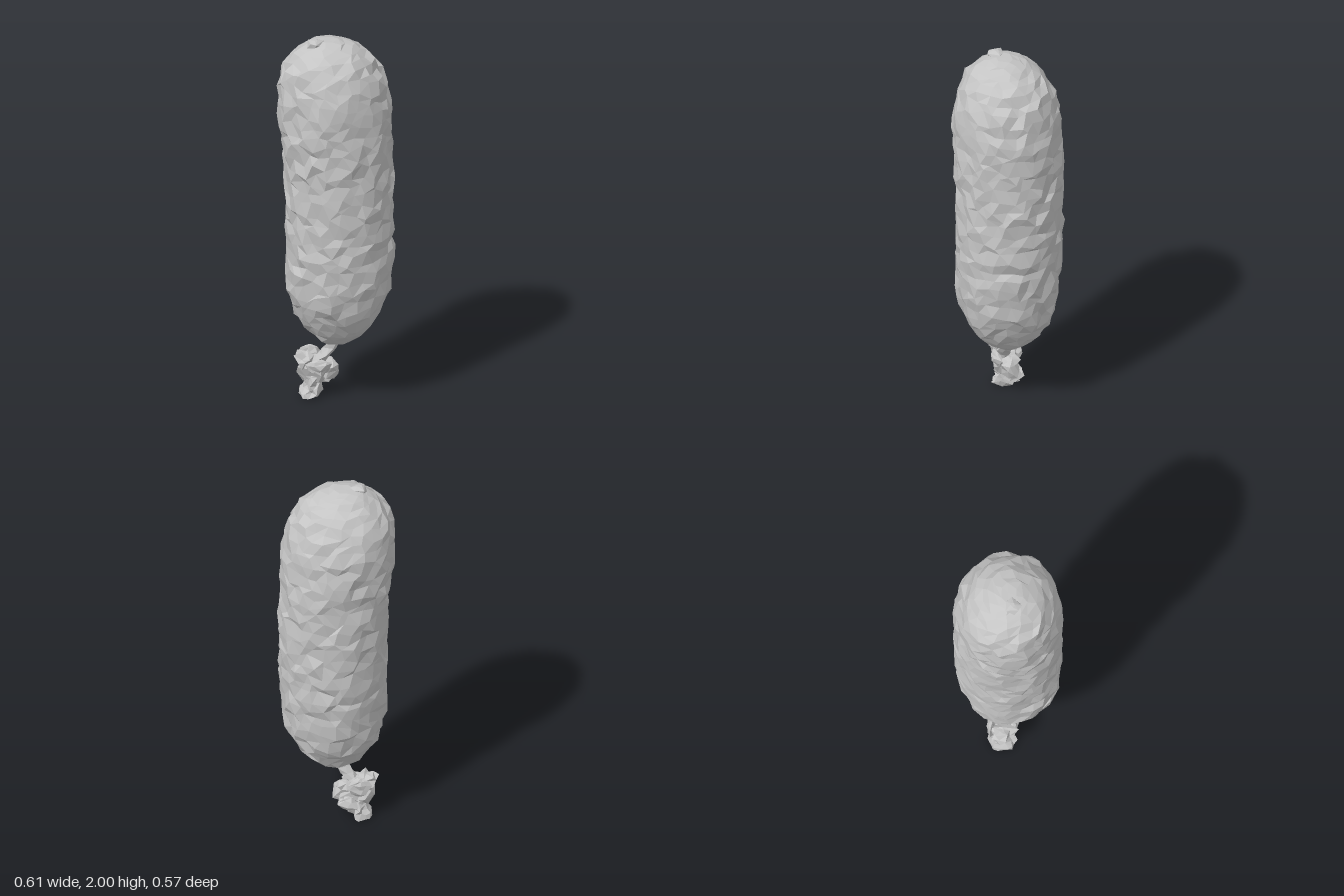
import * as THREE from 'three';

// Small seeded random in -1..1
function makeRandom(seed) {
  let s = seed;
  return () => {
    s = (s * 16807) % 2147483647;
    return (s / 2147483647) * 2 - 1;
  };
}

// Smooth, evenly spaced sections through rows of [y, xMin, xMax, zMin, zMax]
function sampler(rows) {
  const low = new THREE.CatmullRomCurve3(rows.map(r => new THREE.Vector3(r[1], r[0], r[3])), false, 'catmullrom', 0.5);
  const high = new THREE.CatmullRomCurve3(rows.map(r => new THREE.Vector3(r[2], r[0], r[4])), false, 'catmullrom', 0.5);
  return (t) => {
    const u = high.getUtoTmapping(t);
    return [low.getPoint(u), high.getPoint(u)];
  };
}

// Closed skin over jittered rings, bottom to top; smaller rings get fewer corners
function crumpledSkin(rows, { rings, sides, rough, slide, calmRadius, folds = 0, foldDepth = 0, seed }) {
  const rnd = makeRandom(seed);
  const at = sampler(rows);
  const widest = Math.max(...rows.map(r => r[2] - r[1])) / 2;
  const loops = [];
  for (let i = 0; i <= rings; i++) {
    const [a, b] = at(i / rings);
    const cx = (a.x + b.x) / 2, cz = (a.z + b.z) / 2;
    const rx = (b.x - a.x) / 2, rz = (b.z - a.z) / 2;
    const calm = Math.min(1, Math.min(rx, rz) / calmRadius);
    const count = Math.max(5, Math.round(sides * Math.min(1, rx / widest)));
    const shift = (i % 2) * 0.5;
    const points = [];
    for (let j = 0; j < count; j++) {
      const ang = ((j + shift + rnd() * 0.28) / count) * Math.PI * 2;
      const fold = 1 + foldDepth * Math.cos(folds * ang + i * 0.8);
      const d = rnd() * rough * calm;
      points.push(new THREE.Vector3(
        cx + Math.cos(ang) * (rx * fold + d),
        a.y + rnd() * slide * calm * calm,
        cz + Math.sin(ang) * (rz * fold + d)));
    }
    loops.push({ points, count, shift });
  }

  const pos = [];
  const tri = (...p) => p.forEach(v => pos.push(v.x, v.y, v.z));
  // Zip neighbouring rings together
  for (let r = 0; r < rings; r++) {
    const A = loops[r], B = loops[r + 1];
    let i = 0, j = 0;
    while (i < A.count || j < B.count) {
      const a = A.points[i % A.count], b = B.points[j % B.count];
      const nextA = (i + 1 + A.shift) / A.count, nextB = (j + 1 + B.shift) / B.count;
      if (j >= B.count || (i < A.count && nextA <= nextB)) tri(a, b, A.points[++i % A.count]);
      else tri(a, b, B.points[++j % B.count]);
    }
  }
  // Close both ends
  const middle = l => l.points.reduce((m, v) => m.addScaledVector(v, 1 / l.count), new THREE.Vector3());
  const first = loops[0], last = loops[rings];
  const bottom = middle(first), top = middle(last);
  first.points.forEach((p, j) => tri(bottom, p, first.points[(j + 1) % first.count]));
  last.points.forEach((p, j) => tri(top, last.points[(j + 1) % last.count], p));

  const geo = new THREE.BufferGeometry();
  geo.setAttribute('position', new THREE.Float32BufferAttribute(pos, 3));
  geo.computeVertexNormals();
  return geo;
}

// Rows for a rounded lump
function lumpRows(x, y, z, rx, ry, rz) {
  return [-1, -0.7, 0, 0.7, 1].map(h => {
    const w = Math.max(0.25, Math.sqrt(1 - h * h));
    return [y + h * ry, x - rx * w, x + rx * w, z - rz * w, z + rz * w];
  });
}

export function createModel() {
  const group = new THREE.Group();
  const grey = new THREE.MeshStandardMaterial({ color: 0xc4c4c4, flatShading: true, side: THREE.DoubleSide });
  grey.name = 'grey';
  const add = (name, geo) => {
    const mesh = new THREE.Mesh(geo, grey);
    mesh.name = name;
    group.add(mesh);
  };

  // Long rounded body, leaning slightly to one side
  add('body', crumpledSkin([
    [0.302, -0.03, 0.04, -0.03, 0.04],
    [0.33, -0.09, 0.10, -0.09, 0.10],
    [0.40, -0.157, 0.178, -0.165, 0.168],
    [0.50, -0.213, 0.238, -0.22, 0.232],
    [0.65, -0.249, 0.282, -0.25, 0.268],
    [0.85, -0.256, 0.297, -0.264, 0.274],
    [1.10, -0.253, 0.30, -0.27, 0.275],
    [1.40, -0.276, 0.29, -0.272, 0.278],
    [1.65, -0.296, 0.278, -0.268, 0.278],
    [1.80, -0.284, 0.24, -0.238, 0.253],
    [1.90, -0.225, 0.178, -0.178, 0.198],
    [1.96, -0.165, 0.10, -0.105, 0.125],
    [1.986, -0.10, 0.015, -0.035, 0.05],
  ], { rings: 38, sides: 28, rough: 0.012, slide: 0.022, calmRadius: 0.24, seed: 71 }));

  // Small pinch at the top
  add('topPinch', crumpledSkin(lumpRows(-0.11, 1.972, 0.03, 0.06, 0.026, 0.05),
    { rings: 3, sides: 6, rough: 0.01, slide: 0.003, calmRadius: 0.05, seed: 19 }));

  // Twisted neck running into the crumpled knot
  add('neck', crumpledSkin([
    [0.14, -0.145, -0.07, -0.05, 0.03],
    [0.20, -0.125, -0.055, -0.04, 0.035],
    [0.25, -0.08, -0.015, -0.025, 0.04],
    [0.30, -0.045, 0.015, -0.015, 0.04],
    [0.35, -0.03, 0.04, -0.02, 0.04],
  ], { rings: 6, sides: 7, rough: 0.006, slide: 0.005, calmRadius: 0.03, folds: 3, foldDepth: 0.12, seed: 5 }));

  // Crumpled knot: a folded core with thin flaps around it
  const lumps = [
    ['knotCore', -0.10, 0.15, -0.02, 0.085, 0.075, 0.065, 11],
    ['knotUpperFlap', -0.16, 0.212, -0.02, 0.052, 0.036, 0.07, 12],
    ['knotRightLobe', -0.035, 0.15, -0.025, 0.06, 0.055, 0.05, 13],
    ['knotBackFlap', -0.12, 0.205, -0.08, 0.055, 0.055, 0.022, 14],
    ['knotFrontFlap', -0.085, 0.18, 0.035, 0.07, 0.04, 0.022, 15],
    ['knotLowerFlap', -0.06, 0.10, -0.06, 0.055, 0.04, 0.04, 16],
  ];
  for (const [name, x, y, z, rx, ry, rz, seed] of lumps) {
    add(name, crumpledSkin(lumpRows(x, y, z, rx, ry, rz),
      { rings: 5, sides: 9, rough: 0.014, slide: 0.014, calmRadius: 0.03, folds: 3, foldDepth: 0.18, seed }));
  }

  // Ragged tail flaring out at the bottom
  add('tail', crumpledSkin([
    [0.012, -0.185, -0.075, -0.09, 0.045],
    [0.035, -0.175, -0.065, -0.09, 0.038],
    [0.08, -0.155, -0.065, -0.08, 0.025],
    [0.14, -0.15, -0.05, -0.065, 0.03],
  ], { rings: 6, sides: 13, rough: 0.009, slide: 0.01, calmRadius: 0.04, folds: 5, foldDepth: 0.16, seed: 23 }));

  return group;
}
